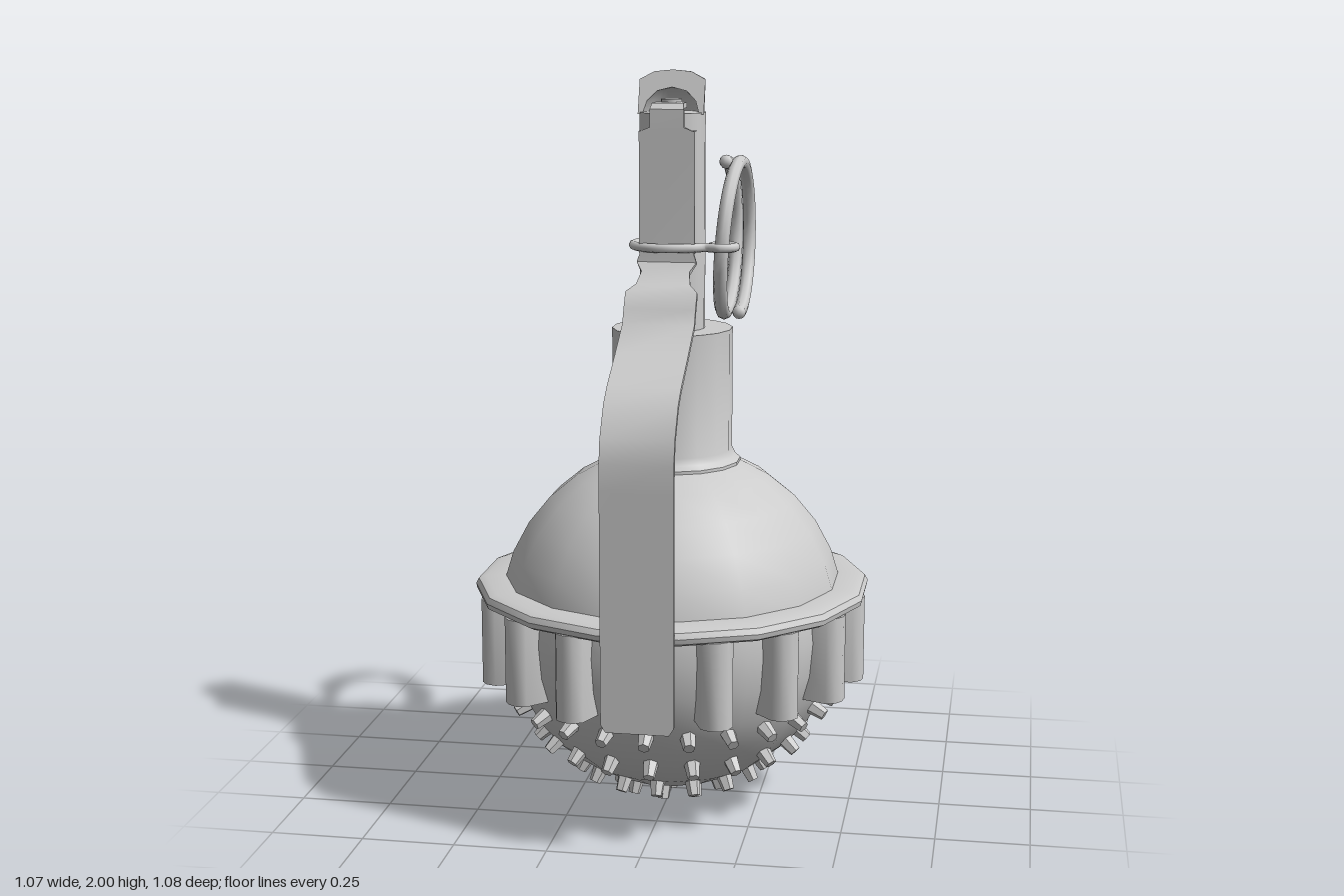
import * as THREE from 'three';
import { toCreasedNormals } from 'three/addons/utils/BufferGeometryUtils.js';

const grey = new THREE.MeshStandardMaterial({ color: 0xcccccc });
const greyDouble = new THREE.MeshStandardMaterial({ color: 0xcccccc, side: THREE.DoubleSide });

function addMesh(parent, name, geometry, material = grey) {
  const mesh = new THREE.Mesh(geometry, material);
  mesh.name = name;
  parent.add(mesh);
  return mesh;
}

// Turned part from [radius, height] pairs, listed bottom to top on the outside
function turned(profile, sides = 16, start = Math.PI / 16, length = Math.PI * 2) {
  const pts = profile.map(([r, y]) => new THREE.Vector2(r, y));
  return toCreasedNormals(new THREE.LatheGeometry(pts, sides, start, length), 0.6);
}

// Flat strip bent along a side path of [y, z, halfWidth]
function bentStrip(path, thickness) {
  const n = path.length - 1;
  const geo = new THREE.BoxGeometry(2, 1, 1, 1, n, 1);
  const p = geo.attributes.position;
  for (let v = 0; v < p.count; v++) {
    const i = Math.round((0.5 - p.getY(v)) * n);
    const [y, z, w] = path[i];
    const a = path[Math.max(i - 1, 0)], b = path[Math.min(i + 1, n)];
    const dy = b[0] - a[0], dz = b[1] - a[1];
    const k = (p.getZ(v) * thickness) / Math.hypot(dy, dz);
    p.setXYZ(v, p.getX(v) * w, y + dz * k, z - dy * k);
  }
  geo.computeVertexNormals();
  return toCreasedNormals(geo, 0.6);
}

function buildBody(body) {
  const R = 0.475, cy = 0.51;

  // Round shell
  const arc = [];
  for (let i = 0; i <= 16; i++) {
    const a = -Math.PI / 2 + (i / 16) * Math.PI;
    arc.push([Math.max(0, R * Math.cos(a)), cy + R * Math.sin(a)]);
  }
  addMesh(body, 'shell', turned(arc));

  // Rim around the middle
  addMesh(body, 'rim', turned([
    [0.42, 0.58], [0.525, 0.58], [0.54, 0.588], [0.543, 0.602], [0.535, 0.617], [0.515, 0.624], [0.45, 0.624],
  ]));

  // Neck with a flared foot
  addMesh(body, 'neck', turned([
    [0.186, 0.92], [0.186, 0.955], [0.172, 0.967], [0.163, 0.985], [0.163, 1.315], [0, 1.315],
  ]));

  // Round-nosed ribs hanging under the rim
  const nose = new THREE.Shape();
  nose.moveTo(-0.043, -0.4);
  nose.lineTo(0.043, -0.4);
  nose.lineTo(0.043, -0.505);
  nose.lineTo(0.025, -0.527);
  nose.lineTo(0, -0.533);
  nose.lineTo(-0.025, -0.527);
  nose.lineTo(-0.043, -0.505);
  const ribGeo = new THREE.ExtrudeGeometry(nose, { depth: 0.235, bevelEnabled: false });
  ribGeo.rotateX(-Math.PI / 2);
  const ribs = toCreasedNormals(ribGeo, 0.9);
  for (let i = 0; i < 16; i++) {
    const rib = addMesh(body, 'rib', ribs);
    rib.position.y = 0.35;
    rib.rotation.y = (i / 16) * Math.PI * 2;
  }

  // Rows of small tapered studs below: [degrees under the equator, count]
  const studGeo = new THREE.CylinderGeometry(0.016, 0.025, 0.07, 6).toNonIndexed();
  studGeo.computeVertexNormals();
  const up = new THREE.Vector3(0, 1, 0);
  for (const [deg, count] of [[27, 24], [42, 20], [59, 16], [73, 10], [90, 1]]) {
    const e = THREE.MathUtils.degToRad(-deg);
    for (let i = 0; i < count; i++) {
      const t = (i / count) * Math.PI * 2;
      const dir = new THREE.Vector3(Math.sin(t) * Math.cos(e), Math.sin(e), Math.cos(t) * Math.cos(e));
      const stud = addMesh(body, 'stud', studGeo);
      stud.quaternion.setFromUnitVectors(up, dir);
      stud.position.copy(dir).multiplyScalar(0.475).y += cy;
    }
  }
}

function buildFuse(fuse) {
  // Tube standing on the neck
  addMesh(fuse, 'fuseTube', turned([[0.088, 1.3], [0.088, 1.89], [0, 1.89]], 20));

  // Hollow hood over the back of the tube, its open face leaning forward at the foot
  const lean = (geo) => {
    const p = geo.attributes.position;
    for (let i = 0; i < p.count; i++) {
      const z = p.getZ(i);
      p.setZ(i, z + (1.975 - p.getY(i)) * 0.35 * (1 + z / 0.088));
    }
    geo.computeVertexNormals();
    return toCreasedNormals(geo, 0.6);
  };
  const section = [
    [0, 1.955], [0.04, 1.945], [0.065, 1.92], [0.076, 1.885], [0.088, 1.885], [0.088, 1.975], [0.05, 1.995], [0, 2],
  ];
  addMesh(fuse, 'hood', lean(turned(section, 12, Math.PI / 2, Math.PI)), greyDouble);
  const mirrored = section.slice(1, -1).reverse().map(([x, y]) => [-x, y]);
  const face = new THREE.Shape([...section, ...mirrored].map(([x, y]) => new THREE.Vector2(x, y)));
  addMesh(fuse, 'hoodEdge', lean(new THREE.ShapeGeometry(face)), greyDouble);

  // Striker pin head inside the hood
  addMesh(fuse, 'pinHead', new THREE.CylinderGeometry(0.028, 0.028, 0.05, 12)).position.set(0, 1.9, 0.015);
}

function buildLever(lever) {
  addMesh(lever, 'leverStrip', bentStrip([
    [1.91, 0.01, 0.042], [1.91, 0.065, 0.042], [1.9, 0.077, 0.045], [1.855, 0.078, 0.045], [1.845, 0.078, 0.07],
    [1.53, 0.078, 0.07], [1.5, 0.08, 0.08], [1.475, 0.1, 0.064], [1.445, 0.137, 0.072], [1.43, 0.165, 0.095],
    [1.39, 0.19, 0.095], [1.35, 0.21, 0.095], [1.285, 0.315, 0.095], [1.225, 0.42, 0.095], [1.19, 0.465, 0.095],
    [1.11, 0.517, 0.095], [1.05, 0.529, 0.095], [0.98, 0.53, 0.095], [0.37, 0.53, 0.095], [0.35, 0.53, 0.082],
  ], 0.014));
  for (const side of [-1, 1]) {
    addMesh(lever, 'leverFlange', new THREE.BoxGeometry(0.012, 0.32, 0.04)).position.set(side * 0.068, 1.685, 0.063);
  }
}

function buildPin(pin) {
  // Wire clip hugging the tube, ending in an eye at the side; points are [x, z]
  const clip = [
    [-0.03, -0.11], [-0.075, -0.065], [-0.1, -0.01], [-0.095, 0.045], [-0.06, 0.085], [0, 0.1], [0.06, 0.085],
    [0.1, 0.06], [0.14, 0.076], [0.172, 0.06], [0.175, 0.025], [0.15, 0.005], [0.12, 0.02], [0.11, 0.045],
  ].map(([x, z]) => new THREE.Vector3(x, 1.54, z));
  addMesh(pin, 'wireClip', new THREE.TubeGeometry(new THREE.CatmullRomCurve3(clip), 60, 0.012, 8), greyDouble);

  // Split pull ring: one and a half turns, doubled along the back
  const coil = [];
  for (let i = 0; i <= 36; i++) {
    const a = (i / 36) * Math.PI * 3;
    const x = THREE.MathUtils.lerp(0.122, 0.16, THREE.MathUtils.smoothstep(a, Math.PI * 0.95, Math.PI * 2.05));
    coil.push(new THREE.Vector3(x, 1.542 + 0.206 * Math.cos(a), -0.165 - 0.206 * Math.sin(a)));
  }
  const curve = new THREE.CatmullRomCurve3(coil);
  addMesh(pin, 'pullRing', new THREE.TubeGeometry(curve, 84, 0.019, 8));
  for (const i of [0, 36]) {
    addMesh(pin, 'pullRingEnd', new THREE.SphereGeometry(0.019, 8, 6)).position.copy(coil[i]);
  }
}

export function createModel() {
  const model = new THREE.Group();
  model.name = 'grenade';
  const parts = { body: buildBody, fuse: buildFuse, lever: buildLever, safetyPin: buildPin };
  for (const [name, build] of Object.entries(parts)) {
    const group = new THREE.Group();
    group.name = name;
    build(group);
    model.add(group);
  }
  // The round parts sit slightly back to balance the lever
  model.getObjectByName('body').position.z = -0.01;
  model.getObjectByName('fuse').position.z = -0.01;
  return model;
}
